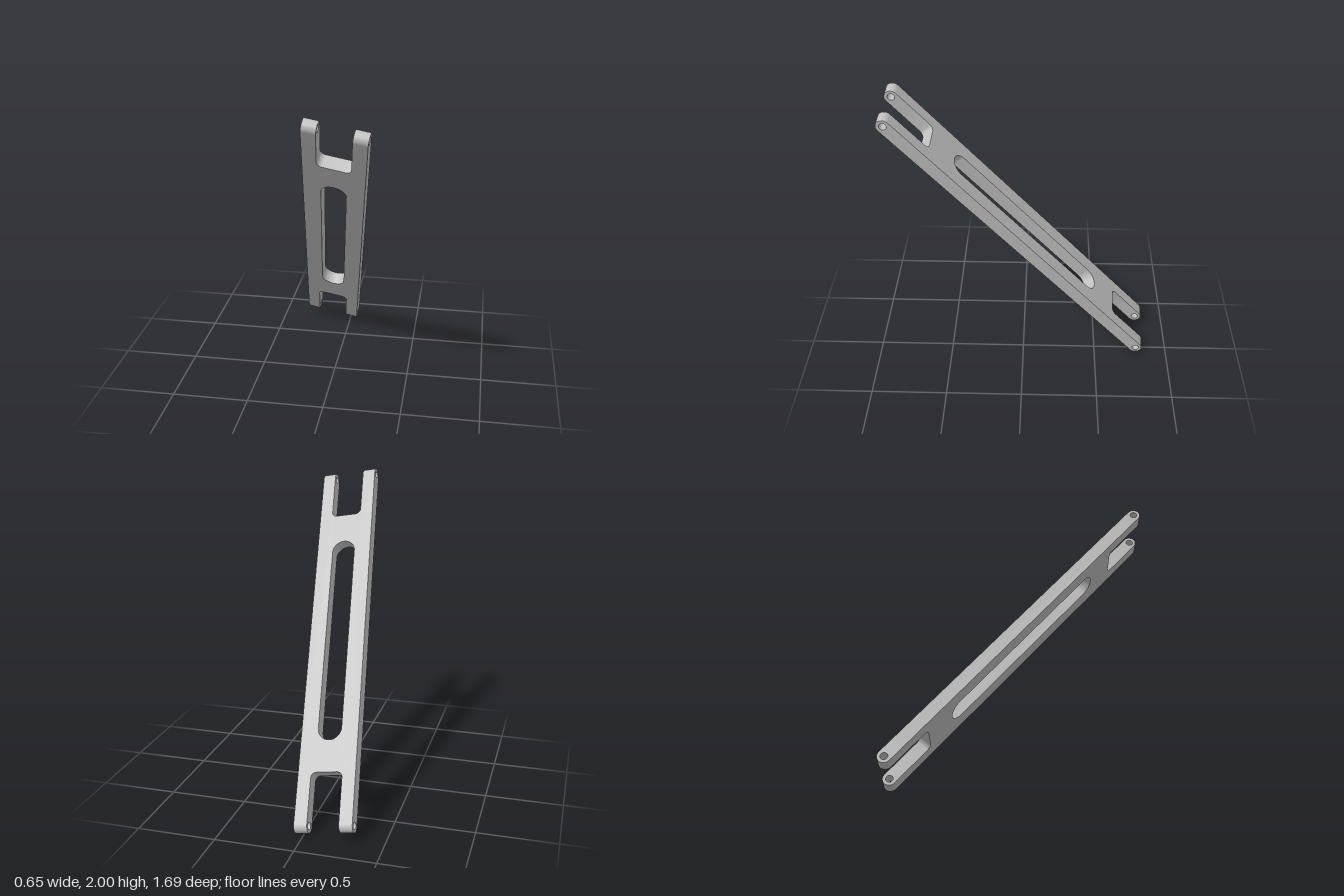
import * as THREE from 'three';
import { toCreasedNormals } from 'three/addons/utils/BufferGeometryUtils.js';

// Link dimensions in its own frame: x across, y along, z through
const HALF_W = 0.188, PRONG = 0.086, HALF_T = 0.043;
const PIN = 1.226, JOIN = 1.12, NOTCH = 0.905, FILLET = 0.035;
const SLOT_R = 0.0775, SLOT_END = 0.7, HOLE_R = 0.023;

const extrude = (shape, depth) => toCreasedNormals(
  new THREE.ExtrudeGeometry(shape, { depth, bevelEnabled: false, curveSegments: 20 })
    .translate(0, 0, -depth / 2), 0.6);

// H-shaped outline with filleted notches and a round-ended slot
function plateGeometry() {
  const inner = HALF_W - PRONG;
  const s = new THREE.Shape();
  s.moveTo(-HALF_W, -JOIN);
  s.lineTo(-inner, -JOIN);
  s.lineTo(-inner, -NOTCH - FILLET);
  s.absarc(-inner + FILLET, -NOTCH - FILLET, FILLET, Math.PI, Math.PI / 2, true);
  s.absarc(inner - FILLET, -NOTCH - FILLET, FILLET, Math.PI / 2, 0, true);
  s.lineTo(inner, -JOIN);
  s.lineTo(HALF_W, -JOIN);
  s.lineTo(HALF_W, JOIN);
  s.lineTo(inner, JOIN);
  s.lineTo(inner, NOTCH + FILLET);
  s.absarc(inner - FILLET, NOTCH + FILLET, FILLET, 0, -Math.PI / 2, true);
  s.absarc(-inner + FILLET, NOTCH + FILLET, FILLET, -Math.PI / 2, -Math.PI, true);
  s.lineTo(-inner, JOIN);
  s.lineTo(-HALF_W, JOIN);
  s.closePath();

  const slot = new THREE.Path();
  slot.absarc(0, SLOT_END - SLOT_R, SLOT_R, 0, Math.PI, false);
  slot.absarc(0, -SLOT_END + SLOT_R, SLOT_R, Math.PI, Math.PI * 2, false);
  slot.closePath();
  s.holes.push(slot);
  return extrude(s, HALF_T * 2);
}

// Rounded prong end with a pin hole running across it
function prongGeometry() {
  const s = new THREE.Shape();
  s.moveTo(JOIN, -HALF_T);
  s.lineTo(PIN, -HALF_T);
  s.absarc(PIN, 0, HALF_T, -Math.PI / 2, Math.PI / 2, false);
  s.lineTo(JOIN, HALF_T);
  s.closePath();
  const hole = new THREE.Path();
  hole.absarc(PIN, 0, HOLE_R, 0, Math.PI * 2, true);
  s.holes.push(hole);
  const toLink = new THREE.Matrix4().makeBasis(
    new THREE.Vector3(0, 1, 0), new THREE.Vector3(0, 0, 1), new THREE.Vector3(1, 0, 0));
  return extrude(s, PRONG).applyMatrix4(toLink);
}

export function createModel() {
  const metal = new THREE.MeshStandardMaterial({ color: 0xc0c0c0 });
  metal.name = 'light grey metal';

  const link = new THREE.Group();
  link.name = 'link';
  const plate = new THREE.Mesh(plateGeometry(), metal);
  plate.name = 'slottedPlate';
  link.add(plate);

  // Two prongs at each end
  const prong = prongGeometry();
  for (const [end, turn] of [['upper', 0], ['lower', Math.PI]]) {
    const fork = new THREE.Group();
    fork.name = end + 'Fork';
    fork.rotation.z = turn;
    for (const side of [-1, 1]) {
      const mesh = new THREE.Mesh(prong, metal);
      mesh.name = end + 'Prong';
      mesh.position.x = side * (HALF_W - PRONG / 2);
      fork.add(mesh);
    }
    link.add(fork);
  }

  // Lean the link forwards and sideways
  const along = new THREE.Vector3(0.1075, 0.755, 0.647).normalize();
  const across = new THREE.Vector3(0.984, -0.172, 0.037);
  const through = across.clone().cross(along).normalize();
  across.crossVectors(along, through);
  link.quaternion.setFromRotationMatrix(new THREE.Matrix4().makeBasis(across, along, through));
  link.position.y = 1;

  const model = new THREE.Group();
  model.name = 'leaningLink';
  model.add(link);
  return model;
}
